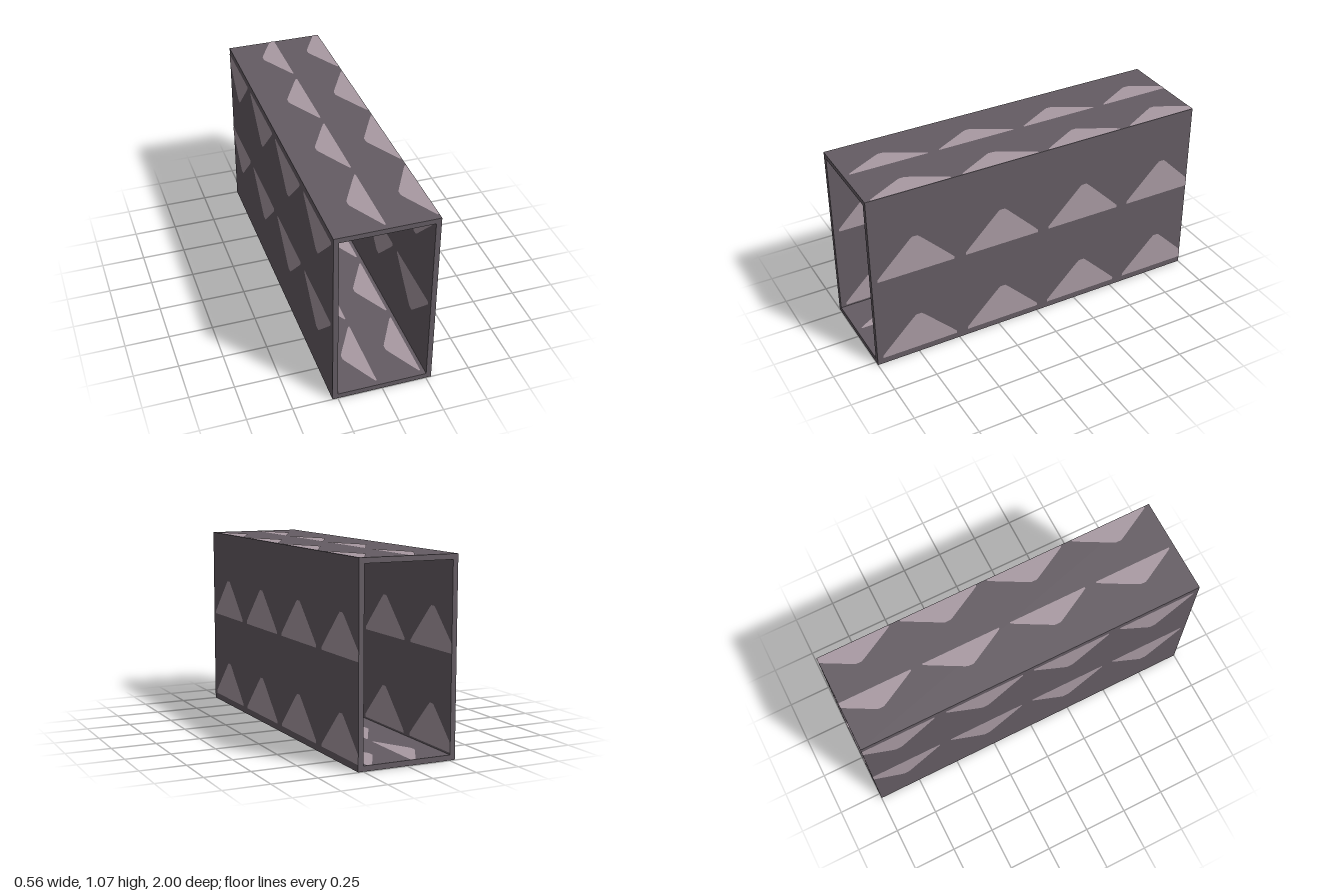
import * as THREE from 'three';

const WIDTH = 0.56, HEIGHT = 1.065, LENGTH = 2, WALL = 0.029;

function rectangle(Type, x0, y0, x1, y1) {
  const path = new Type();
  path.moveTo(x0, y0);
  path.lineTo(x1, y0);
  path.lineTo(x1, y1);
  path.lineTo(x0, y1);
  path.closePath();
  return path;
}

export function createModel() {
  const model = new THREE.Group();
  model.name = 'patternedDuct';

  const darkMauve = new THREE.MeshStandardMaterial({ color: 0x645c63 });
  darkMauve.name = 'dark mauve';
  const paleMauve = new THREE.MeshStandardMaterial({ color: 0xa899a2 });
  paleMauve.name = 'pale mauve';

  // Hollow rectangular tube, open at both ends
  const w = WIDTH / 2;
  const section = rectangle(THREE.Shape, -w, 0, w, HEIGHT);
  section.holes.push(rectangle(THREE.Path, -w + WALL, WALL, w - WALL, HEIGHT - WALL));
  const tubeGeometry = new THREE.ExtrudeGeometry(section, { depth: LENGTH, bevelEnabled: false });
  tubeGeometry.translate(0, 0, -LENGTH / 2);
  const tube = new THREE.Mesh(tubeGeometry, darkMauve);
  tube.name = 'tubeWalls';
  model.add(tube);

  // Blunt triangle painted on the walls, base on v = 0
  const half = [[0.225, 0], [0.225, 0.015], [0.19, 0.052], [0.035, 0.208], [0.016, 0.225]];
  const outline = [...half, ...half.map(([u, v]) => [-u, v]).reverse()];
  const triangle = new THREE.Shape(outline.map(([u, v]) => new THREE.Vector2(u, v)));

  const columns = [0.742, 0.224, -0.292, -0.81];
  const X = new THREE.Vector3(1, 0, 0), Y = new THREE.Vector3(0, 1, 0);
  const negX = X.clone().negate(), negY = Y.clone().negate();
  const inX = w - WALL, inTop = HEIGHT - WALL;

  // Each wall: facing, direction the tips point, tip scale, base points (x, y)
  const walls = [
    ['leftOuter', X, Y, 1, [[w, 0.037], [w, 0.553]]],
    ['rightOuter', negX, negY, 1, [[-w, 1.025], [-w, 0.508]]],
    ['rightInner', X, Y, 1, [[-inX, 0.04], [-inX, 0.556]]],
    ['leftInner', negX, negY, 1, [[inX, 1.025], [inX, 0.508]]],
    ['topOuter', Y, negX, 0.54, [[0.277, HEIGHT], [0, HEIGHT]]],
    ['bottomOuter', negY, X, 0.54, [[-0.26, 0], [0.013, 0]]],
    ['floorInner', Y, negX, 0.54, [[0.23, WALL], [-0.02, WALL]]],
    ['ceilingInner', negY, X, 0.54, [[-0.23, inTop], [0.02, inTop]]],
  ];

  for (const [name, normal, tip, scale, bases] of walls) {
    const group = new THREE.Group();
    group.name = name + 'Triangles';
    const side = new THREE.Vector3().crossVectors(tip, normal);
    for (const [x, y] of bases) {
      for (const z of columns) {
        const geometry = new THREE.ShapeGeometry(triangle);
        geometry.scale(1, scale, 1);
        const place = new THREE.Matrix4().makeBasis(side, tip, normal);
        place.setPosition(new THREE.Vector3(x, y, z).addScaledVector(normal, 0.0015));
        geometry.applyMatrix4(place);
        // Trim the last column at the tube's end
        const p = geometry.attributes.position;
        for (let i = 0; i < p.count; i++) p.setZ(i, Math.max(p.getZ(i), -LENGTH / 2));
        const patch = new THREE.Mesh(geometry, paleMauve);
        patch.name = 'paintedTriangle';
        group.add(patch);
      }
    }
    model.add(group);
  }
  return model;
}
